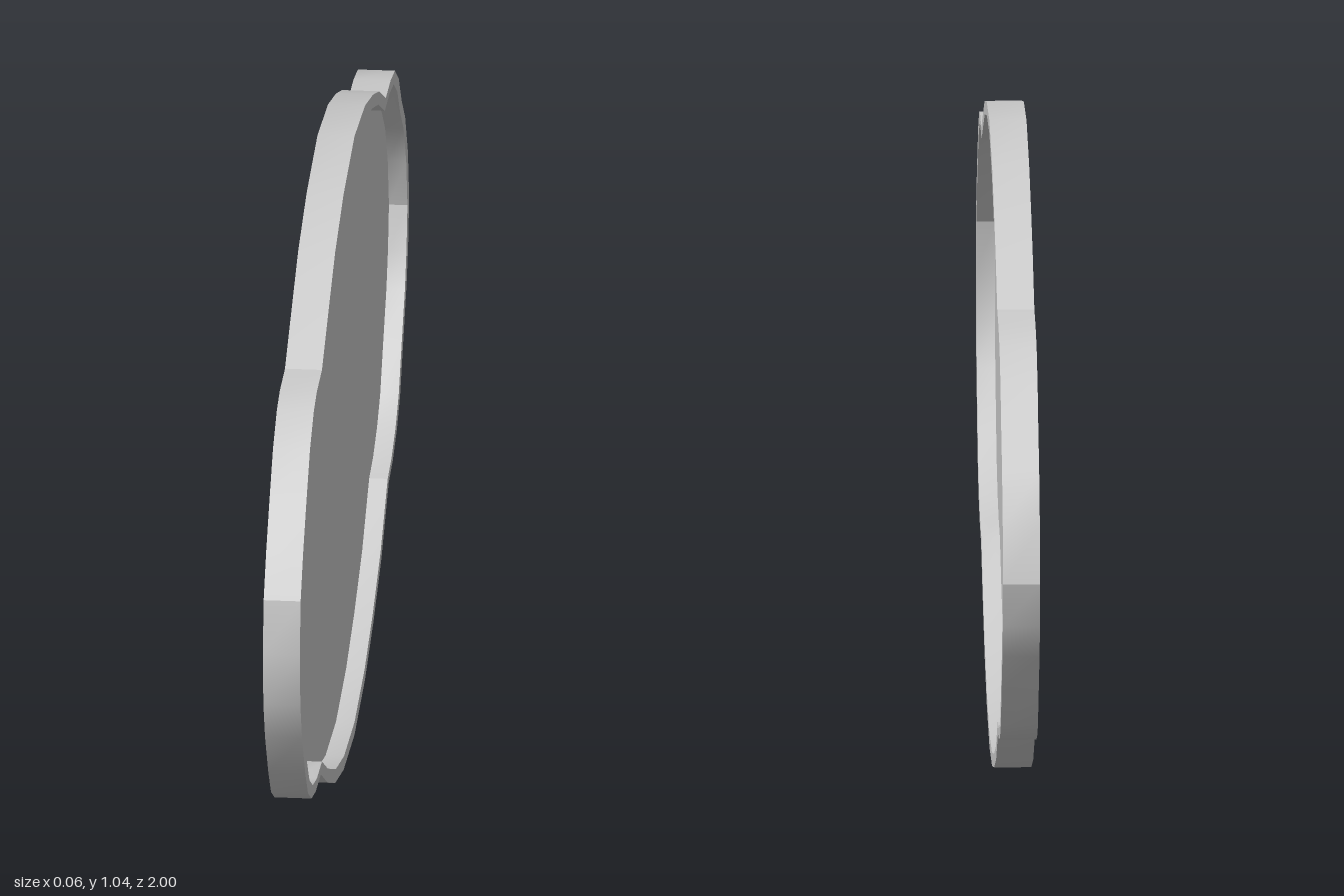
import * as THREE from 'three';
import { toCreasedNormals } from 'three/addons/utils/BufferGeometryUtils.js';

// Plaque outline as [z, y], counter-clockwise seen from +x, starting at the top
const outline = [
  [0, 1.045], [0.2, 1.025], [0.353, 0.987], [0.466, 0.938], [0.595, 0.88], [0.69, 0.88],
  [0.745, 0.868], [0.814, 0.83], [0.88, 0.765], [0.94, 0.7], [0.985, 0.635], [1, 0.547],
  [0.99, 0.455], [0.96, 0.386], [0.9, 0.3], [0.85, 0.245], [0.787, 0.21], [0.707, 0.19],
  [0.615, 0.182], [0.503, 0.123], [0.353, 0.06], [0.198, 0.02], [0, 0],
  [-0.193, 0.018], [-0.348, 0.056], [-0.493, 0.107], [-0.627, 0.185], [-0.7, 0.193],
  [-0.776, 0.217], [-0.835, 0.252], [-0.889, 0.32], [-0.953, 0.397], [-0.982, 0.455],
  [-1, 0.53], [-0.977, 0.62], [-0.927, 0.7], [-0.862, 0.756], [-0.81, 0.815],
  [-0.739, 0.858], [-0.66, 0.873], [-0.573, 0.878], [-0.45, 0.94], [-0.337, 0.98], [-0.193, 1.02],
];
const centreY = 0.5225;

// Loops through the section: [x, scale in z, scale in y]
const section = [
  [-0.03, 0, 0],          // back centre
  [-0.03, 1, 1],          // back edge
  [0.03, 1, 1],           // rim, outer edge
  [0.03, 0.968, 0.958],   // rim, inner edge
  [0, 0.968, 0.958],      // recess floor edge
  [0, 0, 0],              // recess floor centre
];

function point(i, j) {
  const [z, y] = outline[i % outline.length];
  const [x, sz, sy] = section[j];
  return [x, centreY + (y - centreY) * sy, z * sz];
}

function plaqueGeometry() {
  const positions = [];
  const last = section.length - 2;
  for (let j = 0; j <= last; j++) {
    for (let i = 0; i < outline.length; i++) {
      const a = point(i, j), b = point(i + 1, j);
      const c = point(i + 1, j + 1), d = point(i, j + 1);
      if (j > 0) positions.push(...a, ...b, ...d);
      if (j < last) positions.push(...b, ...c, ...d);
    }
  }
  const geometry = new THREE.BufferGeometry();
  geometry.setAttribute('position', new THREE.Float32BufferAttribute(positions, 3));
  return toCreasedNormals(geometry, 0.4);
}

export function createModel() {
  const group = new THREE.Group();
  group.name = 'plaque';

  // Flat back, raised rim and recessed face in one closed shell
  const material = new THREE.MeshStandardMaterial({ color: 0xcccccc });
  const body = new THREE.Mesh(plaqueGeometry(), material);
  body.name = 'rimmedPanel';
  group.add(body);

  return group;
}
